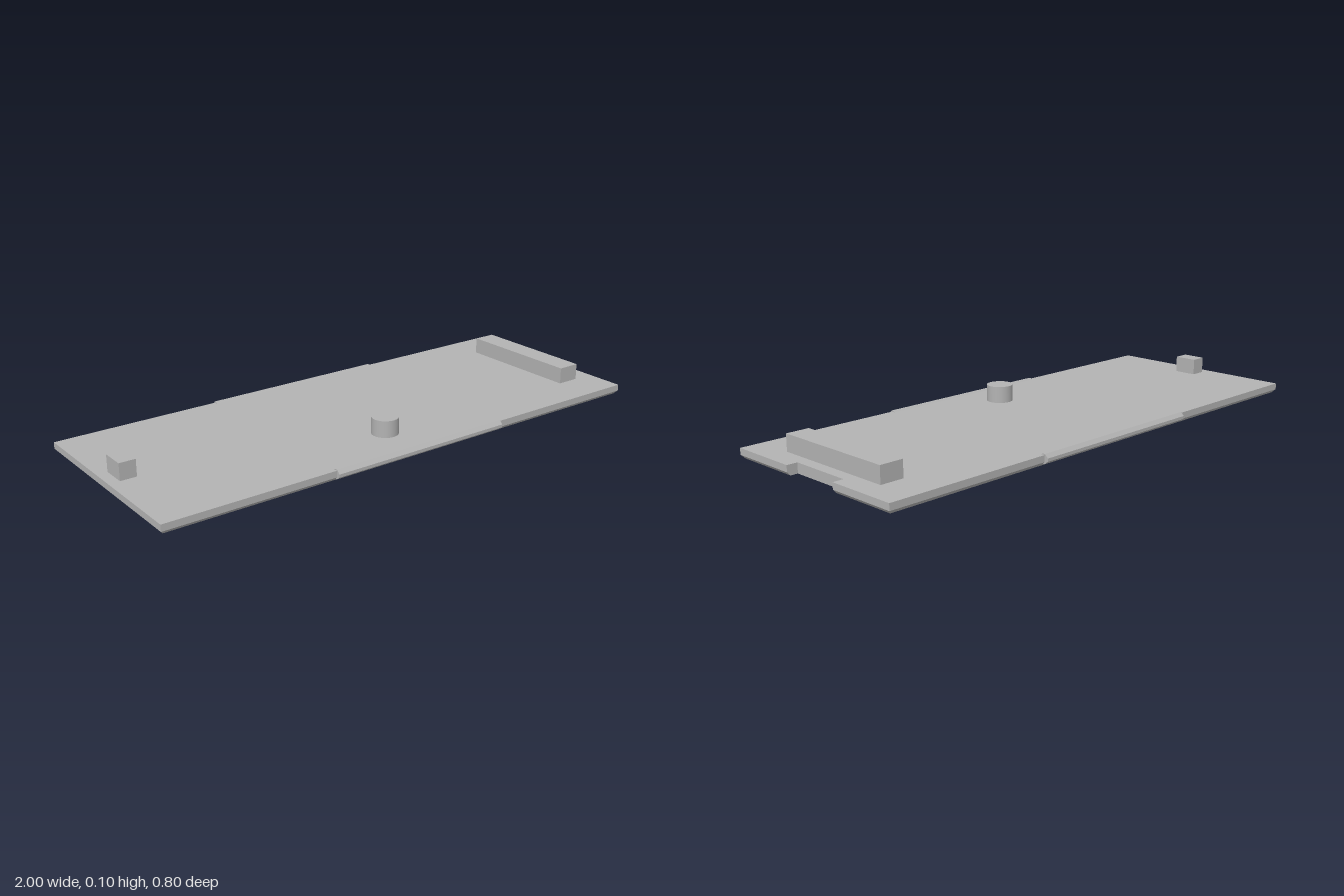
import * as THREE from 'three';

const TOP = 0.037;

// Plate outline seen from above as (x, -z), with a notch in the +x end
function outline(inset) {
  const x = 1 - inset, d = 0.388 - inset, n = 0.12;
  return [[-x, -d], [x, -d], [x, -n], [0.96, -n], [0.96, n], [x, n], [x, d], [-x, d]]
    .map(([a, b]) => new THREE.Vector2(a, b));
}

// Joins stacked outlines into a closed solid with flat faces
function loftGeometry(levels) {
  const pos = [];
  const add = ({ loop, y }, i) => pos.push(loop[i].x, y, -loop[i].y);
  for (let l = 0; l < levels.length - 1; l++) {
    const lo = levels[l], hi = levels[l + 1], n = lo.loop.length;
    for (let i = 0; i < n; i++) {
      const j = (i + 1) % n;
      add(lo, i); add(lo, j); add(hi, j);
      add(lo, i); add(hi, j); add(hi, i);
    }
  }
  const bottom = levels[0], top = levels[levels.length - 1];
  for (const [a, b, c] of THREE.ShapeUtils.triangulateShape(top.loop, [])) {
    add(top, a); add(top, b); add(top, c);
    add(bottom, a); add(bottom, c); add(bottom, b);
  }
  const geometry = new THREE.BufferGeometry();
  geometry.setAttribute('position', new THREE.Float32BufferAttribute(pos, 3));
  geometry.computeVertexNormals();
  return geometry;
}

export function createModel() {
  const model = new THREE.Group();
  model.name = 'coverPlate';
  const grey = new THREE.MeshStandardMaterial({ color: 0xb3b3b3 });
  grey.name = 'plain grey';

  const add = (name, geometry, x = 0, y = 0, z = 0) => {
    const mesh = new THREE.Mesh(geometry, grey);
    mesh.name = name;
    mesh.position.set(x, y, z);
    model.add(mesh);
    return mesh;
  };

  // Thin plate, chamfered around its underside
  add('plate', loftGeometry([
    { loop: outline(0.012), y: 0 },
    { loop: outline(0), y: 0.013 },
    { loop: outline(0), y: TOP },
  ]));

  // Bevelled snap ridges along both long edges
  const profile = new THREE.Shape([
    [0.372, 0.006], [0.388, 0.006], [0.402, 0.017], [0.402, 0.028], [0.39, 0.041], [0.378, 0.041], [0.372, 0.036],
  ].map(([z, y]) => new THREE.Vector2(z, y)));
  const ridge = new THREE.ExtrudeGeometry(profile, { depth: 0.724, bevelEnabled: false });
  ridge.rotateY(-Math.PI / 2).translate(0.362, 0, 0);
  add('frontRidge', ridge);
  add('backRidge', ridge).rotation.y = Math.PI;

  // Raised features on the top face
  const height = 0.099 - TOP + 0.004, midY = 0.099 - height / 2;
  add('endBar', new THREE.BoxGeometry(0.088, height, 0.485), 0.873, midY, -0.002);
  add('locatingBlock', new THREE.BoxGeometry(0.06, height, 0.09), -0.93, midY, -0.005);
  add('roundPost', new THREE.CylinderGeometry(0.049, 0.049, height, 48), -0.036, midY, 0.227);

  return model;
}
